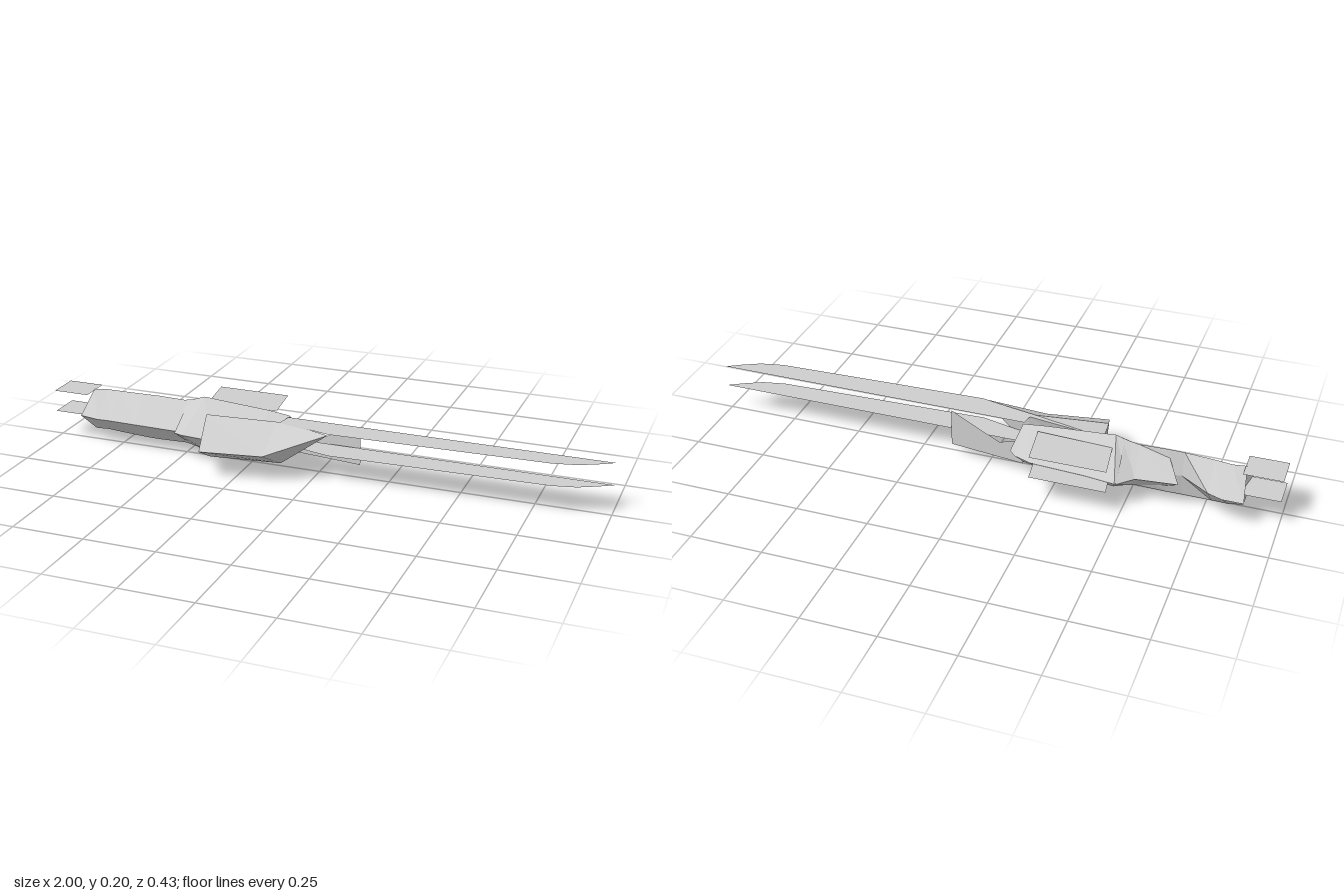
import * as THREE from 'three';

const grey = new THREE.MeshStandardMaterial({ color: 0xcccccc, side: THREE.DoubleSide, flatShading: true });
grey.name = 'paleGrey';
const MID = 0.105; // height of the side ridges

// Flat-shaded skin over rings of [x, y, z] points; the far end may stay open
function loft(name, rings, capEnd = true) {
  const pos = [];
  const n = rings[0].length;
  const tri = (...points) => points.forEach((p) => pos.push(...p));
  for (let i = 0; i < rings.length - 1; i++) {
    for (let j = 0; j < n; j++) {
      const k = (j + 1) % n;
      const a = rings[i][j], b = rings[i + 1][j], c = rings[i + 1][k], d = rings[i][k];
      tri(a, d, c);
      tri(a, c, b);
    }
  }
  const first = rings[0], last = rings[rings.length - 1];
  for (let j = 1; j < n - 1; j++) {
    tri(first[0], first[j + 1], first[j]);
    if (capEnd) tri(last[0], last[j], last[j + 1]);
  }
  const geo = new THREE.BufferGeometry();
  geo.setAttribute('position', new THREE.Float32BufferAttribute(pos, 3));
  geo.computeVertexNormals();
  const mesh = new THREE.Mesh(geo, grey);
  mesh.name = name;
  return mesh;
}

// Diamond section: crest and keel at crestX, side ridges at ridgeX
const diamond = (crestX, half, crestZ, frontZ, backZ, ridgeX = crestX) => [
  [crestX, MID + half, crestZ], [ridgeX, MID, frontZ],
  [crestX, MID - half, crestZ], [ridgeX, MID, backZ],
];

// Pair of thin horizontal plates at the crest and middle heights, outline in [x, z]
function platePair(name, outline) {
  const group = new THREE.Group();
  group.name = name;
  const shape = new THREE.Shape(outline.map(([x, z]) => new THREE.Vector2(x, -z)));
  const geo = new THREE.ShapeGeometry(shape).rotateX(-Math.PI / 2);
  for (const [plateName, y] of [['upperPlate', 0.179], ['lowerPlate', 0.102]]) {
    const plate = new THREE.Mesh(geo, grey);
    plate.name = plateName;
    plate.position.y = y;
    group.add(plate);
  }
  return group;
}

export function createModel() {
  const model = new THREE.Group();
  model.name = 'twinBladeWeapon';

  // Grip with a notch cut into its rear ridge
  model.add(loft('grip', [
    diamond(-0.875, 0.075, -0.03, 0.05, -0.135, -0.89),
    diamond(-0.83, 0.077, -0.04, 0.064, -0.135, -0.82),
    diamond(-0.77, 0.079, -0.035, 0.062, -0.115),
    diamond(-0.67, 0.082, -0.03, 0.065, -0.045),
    diamond(-0.62, 0.083, -0.03, 0.066, -0.05),
    diamond(-0.49, 0.08, -0.03, 0.07, -0.06),
  ]));

  // Rear guard that flares out of the grip toward the collar
  model.add(loft('rearGuard', [
    diamond(-0.62, 0.06, -0.03, 0.03, -0.1, -0.67),
    diamond(-0.52, 0.08, -0.03, 0.06, -0.115, -0.53),
    diamond(-0.47, 0.09, -0.03, 0.07, -0.165, -0.48),
  ]));

  // Collar and receiver, a tapering shell open toward the blades
  model.add(loft('receiver', [
    diamond(-0.5, 0.082, -0.03, 0.085, -0.125, -0.505),
    diamond(-0.44, 0.102, -0.032, 0.095, -0.165, -0.475),
    diamond(-0.39, 0.098, -0.032, 0.105, -0.15, -0.37),
    diamond(-0.2, 0.085, -0.031, 0.08, -0.138, -0.18),
    diamond(-0.13, 0.077, -0.03, 0.06, -0.115, -0.12),
    diamond(-0.12, 0.075, -0.03, 0.05, -0.09, -0.095),
  ], false));

  // Front pod, cut off at a slant toward its upper tip
  const ridgeEnd = [-0.14, MID, 0.175];
  const keelEnd = [-0.125, 0.033, 0.045];
  const innerEnd = [-0.12, 0.178, 0.025];
  model.add(loft('frontPod', [
    [[-0.39, 0.183, 0.065], [-0.355, MID, 0.21], [-0.38, 0.028, 0.065], [-0.38, 0.14, 0.04]],
    [[-0.14, 0.18, 0.038], ridgeEnd, keelEnd, innerEnd],
    [[0.06, 0.176, 0.085], ridgeEnd, keelEnd, innerEnd],
  ]));

  // Slanted rear wall beside the blade roots
  const wallShape = new THREE.Shape([
    [0.14, 0.175], [-0.04, 0.1], [-0.13, 0.13], [-0.13, 0.04], [0.14, 0.04],
  ].map(([x, y]) => new THREE.Vector2(x, y)));
  const wallGeo = new THREE.ShapeGeometry(wallShape);
  const p = wallGeo.attributes.position;
  for (let i = 0; i < p.count; i++) p.setZ(i, -0.02 - (0.14 - p.getX(i)) * 0.13);
  wallGeo.computeVertexNormals();
  const wall = new THREE.Mesh(wallGeo, grey);
  wall.name = 'rearWall';
  model.add(wall);

  // Blades, fins and tail plates
  model.add(platePair('blades', [
    [-0.12, -0.018], [1, -0.015], [0.95, 0.015], [0.89, 0.045], [0.81, 0.062], [0.06, 0.083], [-0.13, 0.035],
  ]));
  model.add(platePair('fins', [
    [-0.46, -0.215], [-0.2, -0.215], [-0.18, -0.055], [-0.44, -0.07],
  ]));
  model.add(platePair('tailPlates', [
    [-1, -0.08], [-0.87, -0.08], [-0.87, 0.033], [-1, 0.033],
  ]));

  return model;
}
